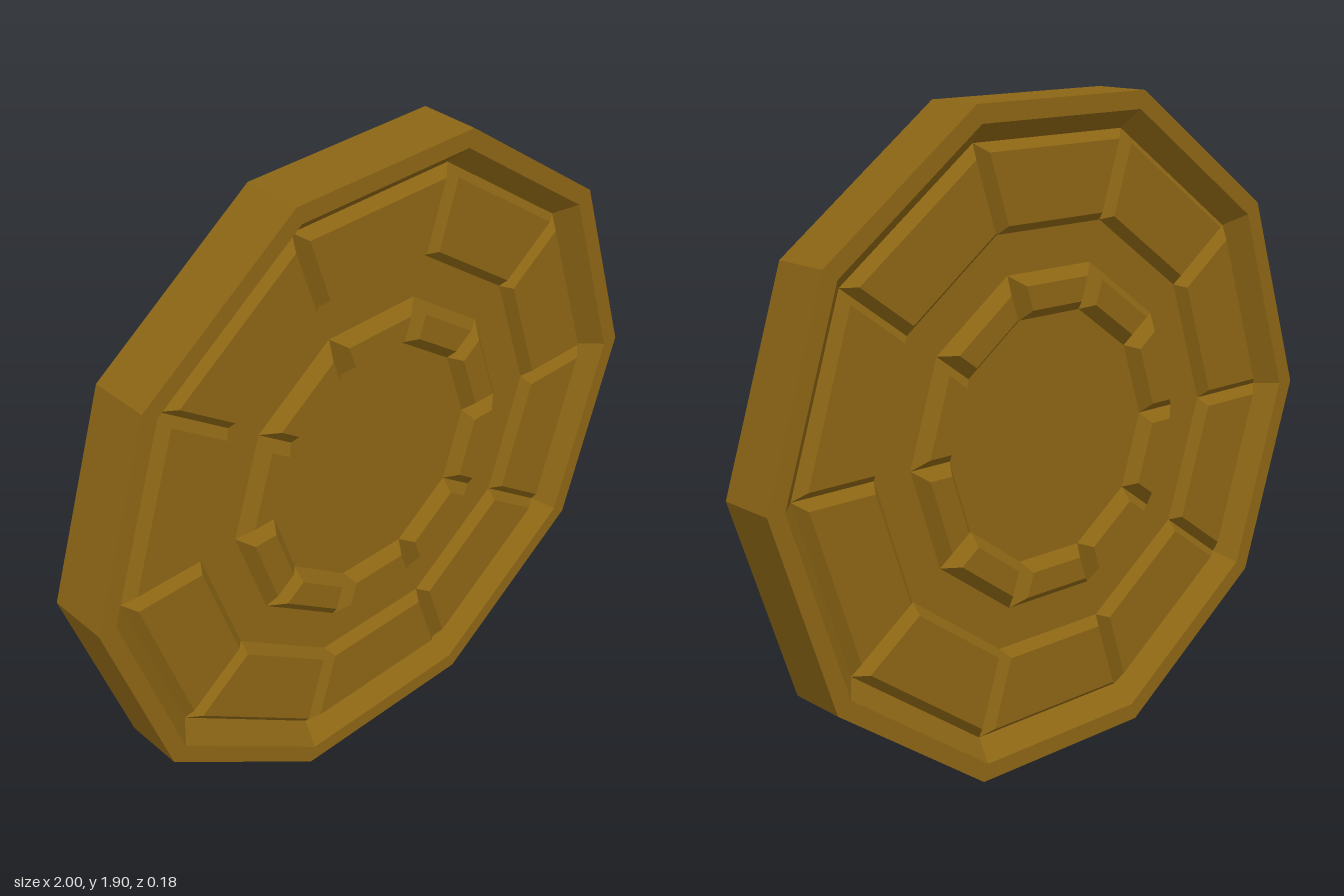
import * as THREE from 'three';

const SIDES = 10;
const HALF = Math.PI / SIDES;      // half of one side's angle
const APOTHEM = Math.cos(HALF);    // distance from centre to the middle of a side
const FLOOR = 0.03;                // z of the sunken face
const RIM = 0.09;                  // z of the raised rim

const gold = new THREE.MeshStandardMaterial({ color: 0x8b6514, flatShading: true });

// Ten-sided plate with a raised, inward-sloping rim on both faces
function makePlate() {
  const profile = [
    [0, -FLOOR], [0.888, -FLOOR], [0.946, -RIM], [1, -RIM],
    [1, RIM], [0.946, RIM], [0.888, FLOOR], [0, FLOOR],
  ].map(([r, y]) => new THREE.Vector2(r, y));
  const geo = new THREE.LatheGeometry(profile, SIDES, Math.PI / 2);
  geo.rotateX(Math.PI / 2);
  const mesh = new THREE.Mesh(geo, gold);
  mesh.name = 'rimmedPlate';
  return mesh;
}

// Raised wedge panel filling one side, with all four edges bevelled by inset
function wedgeGeometry(inner, outer, inset, height) {
  const geo = new THREE.BoxGeometry(1, 1, 1);
  const p = geo.attributes.position;
  for (let i = 0; i < p.count; i++) {
    const top = p.getZ(i) > 0;
    const d = top ? inset : 0;
    const y = p.getY(i) > 0 ? outer - d : inner + d;
    const halfWidth = y * Math.tan(HALF) - d / Math.cos(HALF);
    p.setXYZ(i, Math.sign(p.getX(i)) * halfWidth, y, top ? FLOOR + height : FLOOR);
  }
  geo.computeVertexNormals();
  return geo;
}

// Ring of wedges, one per side
function makeRing(name, geo) {
  const ring = new THREE.Group();
  ring.name = name;
  for (let i = 0; i < SIDES; i++) {
    const mesh = new THREE.Mesh(geo, gold);
    mesh.name = name + 'Panel';
    mesh.rotation.z = i * 2 * HALF;
    ring.add(mesh);
  }
  return ring;
}

export function createModel() {
  const model = new THREE.Group();
  model.name = 'medallion';
  const disc = new THREE.Group();
  disc.name = 'disc';
  disc.position.y = APOTHEM;
  disc.add(makePlate());

  // The same relief on the front and the back
  const large = wedgeGeometry(0.595, 0.845, 0.025, 0.03);
  const small = wedgeGeometry(0.35, 0.48, 0.03, 0.035);
  for (const [name, turn] of [['frontRelief', 0], ['backRelief', Math.PI]]) {
    const relief = new THREE.Group();
    relief.name = name;
    relief.rotation.y = turn;
    relief.add(makeRing('outerRing', large), makeRing('innerRing', small));
    disc.add(relief);
  }

  model.add(disc);
  return model;
}
